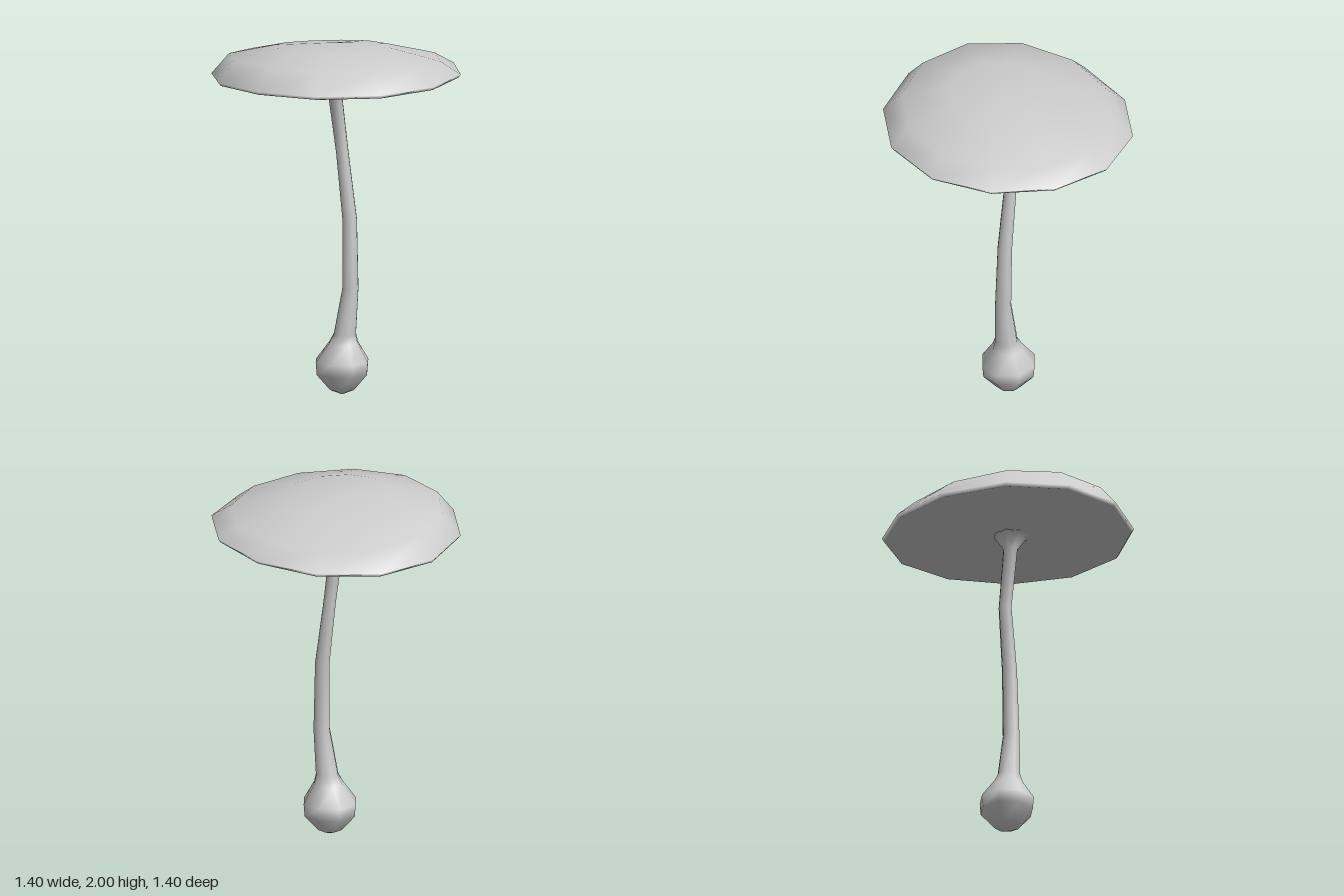
import * as THREE from 'three';
import { mergeVertices } from 'three/addons/utils/BufferGeometryUtils.js';

const material = new THREE.MeshStandardMaterial({ color: 0xcccccc });

// Smooth skin over closed rings. Each ring: centre x, y, z, radius,
// then optional height change towards +x, towards +z, and twice round the ring.
function loft(name, rings, sides) {
  const positions = [];
  const index = [];
  rings.forEach(([x, y, z, r, tiltX = 0, tiltZ = 0, wave = 0], i) => {
    for (let j = 0; j < sides; j++) {
      const t = (j / sides) * Math.PI * 2;
      const c = Math.cos(t), s = Math.sin(t);
      positions.push(x + r * c, y + tiltX * c + tiltZ * s + wave * Math.cos(2 * t), z + r * s);
      if (i === rings.length - 1) continue;
      const a = i * sides + j, b = i * sides + (j + 1) % sides;
      index.push(a, a + sides, b, b, a + sides, b + sides);
    }
  });
  let geometry = new THREE.BufferGeometry();
  geometry.setAttribute('position', new THREE.Float32BufferAttribute(positions, 3));
  geometry.setIndex(index);
  geometry = mergeVertices(geometry, 1e-5);
  geometry.computeVertexNormals();
  const mesh = new THREE.Mesh(geometry, material);
  mesh.name = name;
  return mesh;
}

export function createModel() {
  const group = new THREE.Group();
  group.name = 'mushroom';

  // Bulbous foot, curving stalk and flared neck
  group.add(loft('stem', [
    [0.03, 0.005, 0.01, 0],
    [0.03, 0.035, 0.01, 0.072],
    [0.03, 0.125, 0.01, 0.15],
    [0.03, 0.195, 0.01, 0.156],
    [0.035, 0.3, 0.02, 0.086],
    [0.04, 0.35, 0.028, 0.066],
    [0.062, 0.61, 0.055, 0.048],
    [0.062, 1.0, 0.045, 0.043],
    [0.035, 1.37, 0.002, 0.037],
    [-0.012, 1.71, 0.01, 0.041],
    [-0.018, 1.78, 0.01, 0.09],
    [-0.018, 1.81, 0.01, 0.13],
  ], 8));

  // Tilted, wavy cap: underside from the middle out, rim, then the dome
  group.add(loft('cap', [
    [-0.018, 1.785, 0.01, 0],
    [-0.018, 1.785, 0.01, 0.09],
    [-0.015, 1.81, 0.01, 0.22, 0, 0.008],
    [-0.005, 1.806, 0, 0.6, 0.004, 0.024, 0.01],
    [0, 1.793, 0, 0.685, 0.005, 0.03, 0.012],
    [-0.002, 1.812, 0, 0.698, 0.005, 0.03, 0.012],
    [-0.01, 1.906, 0, 0.592, -0.022, 0.03, 0.011],
    [-0.03, 1.975, 0.01, 0.32, -0.01, 0.022, 0.006],
    [-0.03, 2.0, 0.02, 0],
  ], 12));

  return group;
}
